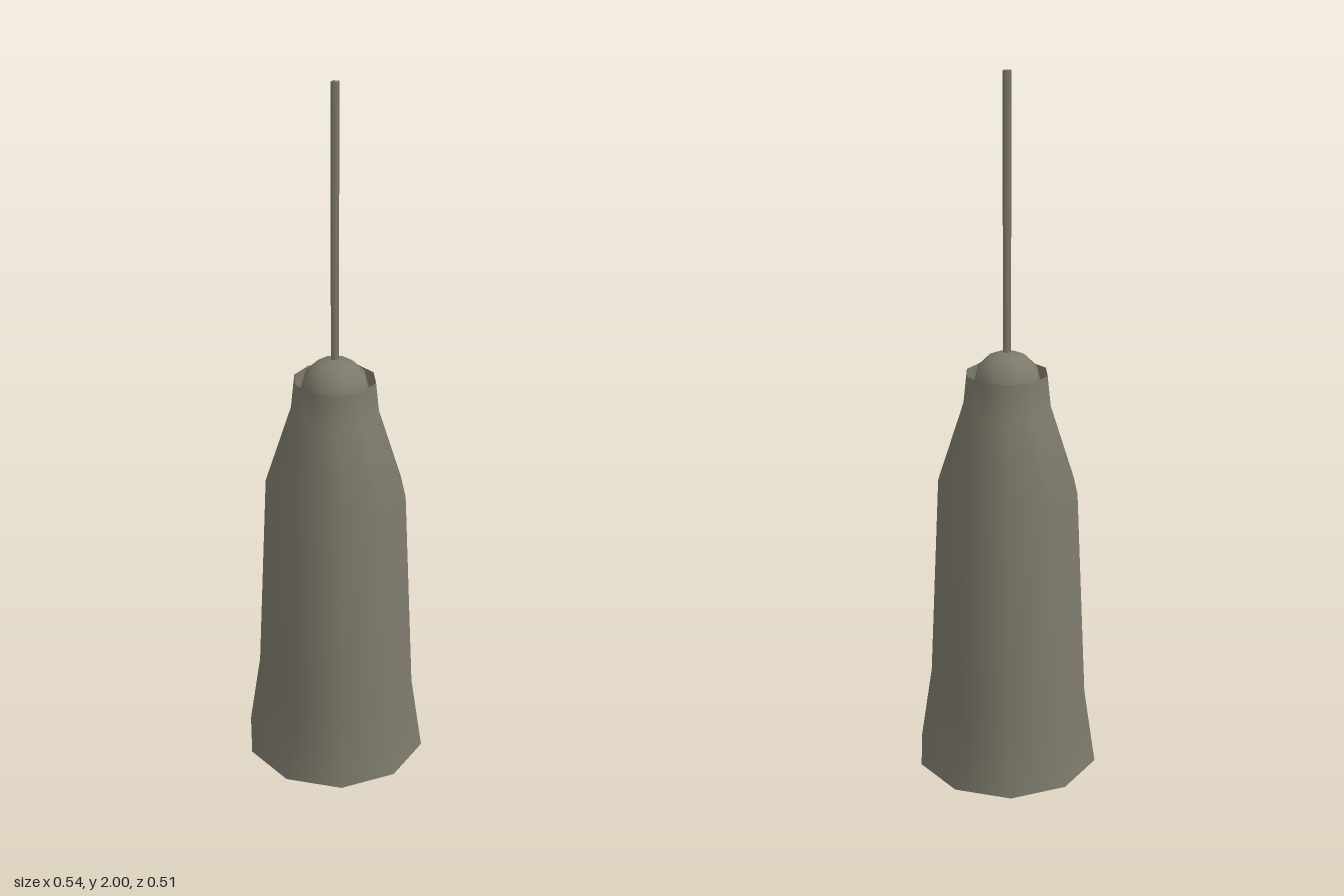
import * as THREE from 'three';

export function createModel() {
  const model = new THREE.Group();
  const grey = new THREE.MeshStandardMaterial({ color: 0x7d7a6b });
  grey.name = 'warm grey';

  const add = (name, geometry, y = 0) => {
    const mesh = new THREE.Mesh(geometry, grey);
    mesh.name = name;
    mesh.position.y = y;
    model.add(mesh);
  };
  // ten-sided turned surface with a corner on the x axis
  const turned = (profile) =>
    new THREE.LatheGeometry(profile.map(([r, y]) => new THREE.Vector2(r, y)), 10, Math.PI / 2);

  // tapered housing with a flared foot and a narrow collar
  add('body', turned([[0.27, 0], [0.235, 0.23], [0.204, 0.85], [0.126, 1.09], [0.115, 1.19]]));
  // core plate under the foot, with a groove between it and the flared skirt
  add('basePlate', turned([[0, 0.015], [0.23, 0.015]]));
  add('baseCore', turned([[0.23, 0.015], [0.23, 0.16]]));
  add('skirtInside', turned([[0.23, 0.16], [0.244, 0.16], [0.27, 0]]));
  // shallow socket inside the collar
  add('socketWall', turned([[0.115, 1.19], [0.113, 1.14]]));
  add('socketFloor', turned([[0.113, 1.14], [0, 1.14]]));
  // domed joint
  add('ball', new THREE.SphereGeometry(0.101, 8, 6), 1.15);
  // thin four-sided mast
  add('mast', new THREE.CylinderGeometry(0.012, 0.012, 0.78, 4), 1.61);

  return model;
}
